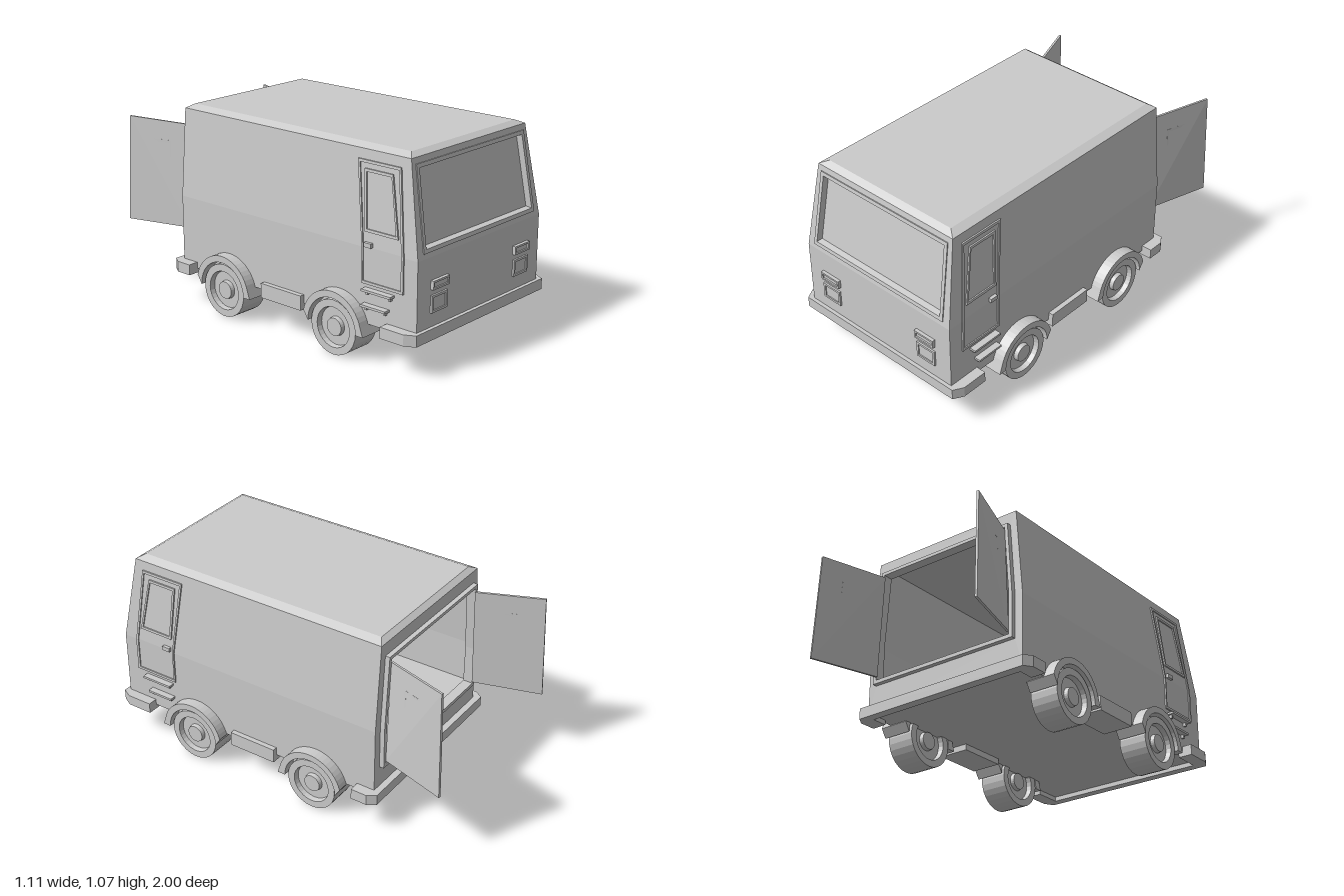
import * as THREE from 'three';

const mat = new THREE.MeshStandardMaterial({ color: 0xcccccc, flatShading: true, side: THREE.DoubleSide });

function mesh(name, geometry, parent) {
  const m = new THREE.Mesh(geometry, mat);
  m.name = name;
  parent.add(m);
  return m;
}

function box(name, parent, x0, x1, y0, y1, z0, z1) {
  const m = mesh(name, new THREE.BoxGeometry(x1 - x0, y1 - y0, z1 - z0), parent);
  m.position.set((x0 + x1) / 2, (y0 + y1) / 2, (z0 + z1) / 2);
  return m;
}

// Flat-faced geometry from a list of four-cornered faces
function quadGeometry(quads) {
  const pos = [];
  for (const [a, b, c, d] of quads) pos.push(...a, ...b, ...c, ...a, ...c, ...d);
  const g = new THREE.BufferGeometry();
  g.setAttribute('position', new THREE.Float32BufferAttribute(pos, 3));
  g.computeVertexNormals();
  return g;
}

// Faces joining two loops of equal length
function ring(a, b, skip = []) {
  const n = a.length, out = [];
  for (let i = 0; i < n; i++) {
    const j = (i + 1) % n;
    if (!skip.includes(i)) out.push([a[i], a[j], b[j], b[i]]);
  }
  return out;
}

function rings(loops) {
  return loops.slice(1).flatMap((l, i) => ring(loops[i], l));
}

function cap(l) {
  return l.length === 4 ? [l] : [[l[0], l[1], l[2], l[5]], [l[5], l[2], l[3], l[4]]];
}

// Panel stepped inward: each step is [inset, height]; place() maps (u, v, height) to space
function panel(points, steps, place) {
  const us = points.map(p => p[0]), vs = points.map(p => p[1]);
  const u0 = Math.min(...us), u1 = Math.max(...us), v0 = Math.min(...vs), v1 = Math.max(...vs);
  const cu = (u0 + u1) / 2, cv = (v0 + v1) / 2;
  const loops = steps.map(([w, d]) => points.map(([u, v]) => place(
    cu + (u - cu) * (1 - 2 * w / (u1 - u0)),
    cv + (v - cv) * (1 - 2 * w / (v1 - v0)), d)));
  return quadGeometry([...rings(loops), ...cap(loops[loops.length - 1])]);
}

const rect = (u0, u1, v0, v1) => [[u0, v0], [u1, v0], [u1, v1], [u0, v1]];
const rise = y => Math.max(0, (y - 0.58) / 0.47);
const onFront = (x, y, d) => [x, y, 0.98 - 0.08 * rise(y) + d];
const onSide = (u, y, d) => [0.495 - 0.04 * rise(y) + d, y, -u];

function buildBody(g) {
  // Outer shell: levels from underside to roof
  const level = (x, y, zf, zb) => [[-x, y, zf], [x, y, zf], [x, y, zb], [-x, y, zb]];
  const L = [level(0.495, 0.195, 0.98, -0.61), level(0.495, 0.58, 0.98, -0.61),
    level(0.455, 1.05, 0.9, -0.61), level(0.41, 1.07, 0.865, -0.58)];
  const screen = [[-0.45, 0.605], [0.45, 0.605], [0.43, 1.02], [-0.43, 1.02]];
  const screenEdge = screen.map(([x, y]) => onFront(x, y, 0));
  mesh('bodyShell', quadGeometry([
    ...ring(L[0], L[1], [2]), ...ring(L[1], L[2], [0, 2]), ...ring(L[2], L[3]),
    L[3], [...L[0]].reverse(),
    ...ring([L[1][0], L[1][1], L[2][1], L[2][0]], screenEdge),
  ]), g);

  // Windscreen frame and recessed glass
  mesh('windscreen', panel(screen, [[0, 0], [0, 0.005], [0.02, 0.005], [0.026, -0.025]], onFront), g);

  // Rear wall, raised opening frame and hollow cargo bay
  const loop = (xb, yb, xm, xt, yt, z) =>
    [[xb, yb, z], [-xb, yb, z], [-xm, 0.58, z], [-xt, yt, z], [xt, yt, z], [xm, 0.58, z]];
  const bay = [
    loop(0.495, 0.195, 0.495, 0.455, 1.05, -0.61),
    loop(0.45, 0.345, 0.45, 0.42, 0.98, -0.61),
    loop(0.45, 0.345, 0.45, 0.42, 0.98, -0.635),
    loop(0.43, 0.365, 0.43, 0.402, 0.962, -0.635),
    loop(0.43, 0.365, 0.43, 0.402, 0.962, -0.58),
    loop(0.47, 0.345, 0.47, 0.435, 1.03, -0.58),
    loop(0.47, 0.345, 0.47, 0.435, 1.03, 0.84),
  ];
  mesh('cargoBay', quadGeometry([...rings(bay), ...cap(bay[bay.length - 1])]), g);
}

// U-shaped bumper with chamfered corners; dir is +1 at the front, -1 at the rear
function bumper(name, parent, dir, x, zEnd, zCorner, zFace) {
  const half = [[x - 0.03, zFace], [x, zCorner], [x, zEnd], [0.47, zEnd], [0.47, zFace - 0.05]];
  const pts = [...half, ...half.map(([a, z]) => [-a, z]).reverse()];
  const shape = new THREE.Shape(pts.map(([a, z]) => new THREE.Vector2(a, -z * dir)));
  const geo = new THREE.ExtrudeGeometry(shape, { depth: 0.058, bevelEnabled: false });
  mesh(name, geo.rotateX(-Math.PI / 2).translate(0, 0.17, 0), parent);
}

function buildWheel(parent, z) {
  const half = [[0.143, 0.078], [0.105, 0.078], [0.1, 0.05], [0.05, 0.05], [0.046, 0.072], [0, 0.072]];
  const profile = [...half.map(([r, h]) => [r, -h]).reverse(), ...half]
    .map(([r, h]) => new THREE.Vector2(r, h));
  const wheel = mesh('wheel', new THREE.LatheGeometry(profile, 28).rotateZ(-Math.PI / 2), parent);
  wheel.position.set(0.463, 0.143, z);

  // Arched fender over the wheel
  const s = new THREE.Shape();
  s.moveTo(0.2, 0);
  s.absarc(0, 0, 0.19, 0.25, Math.PI - 0.25, false);
  s.lineTo(-0.2, 0);
  s.lineTo(-0.155, 0);
  s.absarc(0, 0, 0.155, Math.PI, 0, true);
  const geo = new THREE.ExtrudeGeometry(s, { depth: 0.165, bevelEnabled: false, curveSegments: 10 });
  mesh('fender', geo.rotateY(Math.PI / 2), parent).position.set(0.39, 0.145, z);
}

function buildCabDoor(parent) {
  const outline = [[-0.9, 0.4], [-0.645, 0.4], [-0.645, 0.58], [-0.59, 1.0], [-0.85, 1.0], [-0.9, 0.58]];
  mesh('cabDoor', panel(outline, [[0, 0], [0, 0.008], [0.014, 0.008], [0.014, 0.002]], onSide), parent);
  const win = [[-0.863, 0.66], [-0.66, 0.66], [-0.635, 0.96], [-0.807, 0.96]];
  mesh('cabDoorWindow', panel(win, [[0, 0], [0, 0.01], [0.014, 0.01], [0.014, 0.003]], onSide), parent);
  box('doorHandle', parent, 0.49, 0.512, 0.588, 0.61, 0.665, 0.71);
  // Boarding steps on small brackets
  for (const [y, z0, z1] of [[0.37, 0.665, 0.845], [0.29, 0.66, 0.815]]) {
    box('step', parent, 0.49, 0.53, y, y + 0.012, z0, z1);
    for (const z of [z0 + 0.015, z1 - 0.025]) box('stepBracket', parent, 0.49, 0.512, y - 0.018, y, z, z + 0.012);
  }
}

// Open rear door: a tapering slab spanned between hinge edge and free edge
function buildRearDoor(parent) {
  const hb = new THREE.Vector3(0.425, 0.38, -0.635), ht = new THREE.Vector3(0.398, 0.945, -0.635);
  const tb = new THREE.Vector3(0.53, 0.38, -1.0), tt = new THREE.Vector3(0.515, 0.96, -0.98);
  const normal = tb.clone().sub(hb).cross(ht.clone().sub(hb)).normalize();
  const place = (u, v, d) => hb.clone().lerp(tb, u).lerp(ht.clone().lerp(tt, u), v)
    .addScaledVector(normal, d).toArray();
  const flipped = (u, v, d) => place(1 - u, v, -d);
  const door = new THREE.Group();
  door.name = 'rearDoor';
  parent.add(door);
  for (const side of [place, flipped]) {
    mesh('rearDoorLeaf', panel(rect(0, 1, 0, 1), [[0, 0], [0, 0.006]], side), door);
    const win = side === place ? rect(0.3, 0.66, 0.5, 0.82) : rect(0.34, 0.7, 0.5, 0.82);
    mesh('rearDoorWindow', panel(win, [[0, 0.006], [0, 0.008], [0.025, 0.008], [0.025, 0.0065]], side), door);
  }
}

function buildSide(sign) {
  const side = new THREE.Group();
  side.name = sign > 0 ? 'leftSide' : 'rightSide';
  side.scale.x = sign;
  for (const z of [0.5, -0.26]) buildWheel(side, z);
  box('sideSkirt', side, 0.35, 0.522, 0.162, 0.24, -0.01, 0.265);
  buildCabDoor(side);
  buildRearDoor(side);
  // Front lamps: slim indicator above a square headlight
  mesh('indicator', panel(rect(0.27, 0.395, 0.418, 0.463),
    [[0, 0], [0, 0.018], [0.01, 0.018], [0.01, 0.01]], onFront), side);
  mesh('headlight', panel(rect(0.275, 0.395, 0.3, 0.388),
    [[0, 0], [0, 0.01], [0.012, 0.01], [0.012, 0.004]], onFront), side);
  return side;
}

export function createModel() {
  const van = new THREE.Group();
  van.name = 'van';
  buildBody(van);
  bumper('frontBumper', van, 1, 0.55, 0.8, 0.945, 1.0);
  bumper('rearBumper', van, -1, 0.553, 0.51, 0.6, 0.645);
  van.add(buildSide(1), buildSide(-1));
  return van;
}
